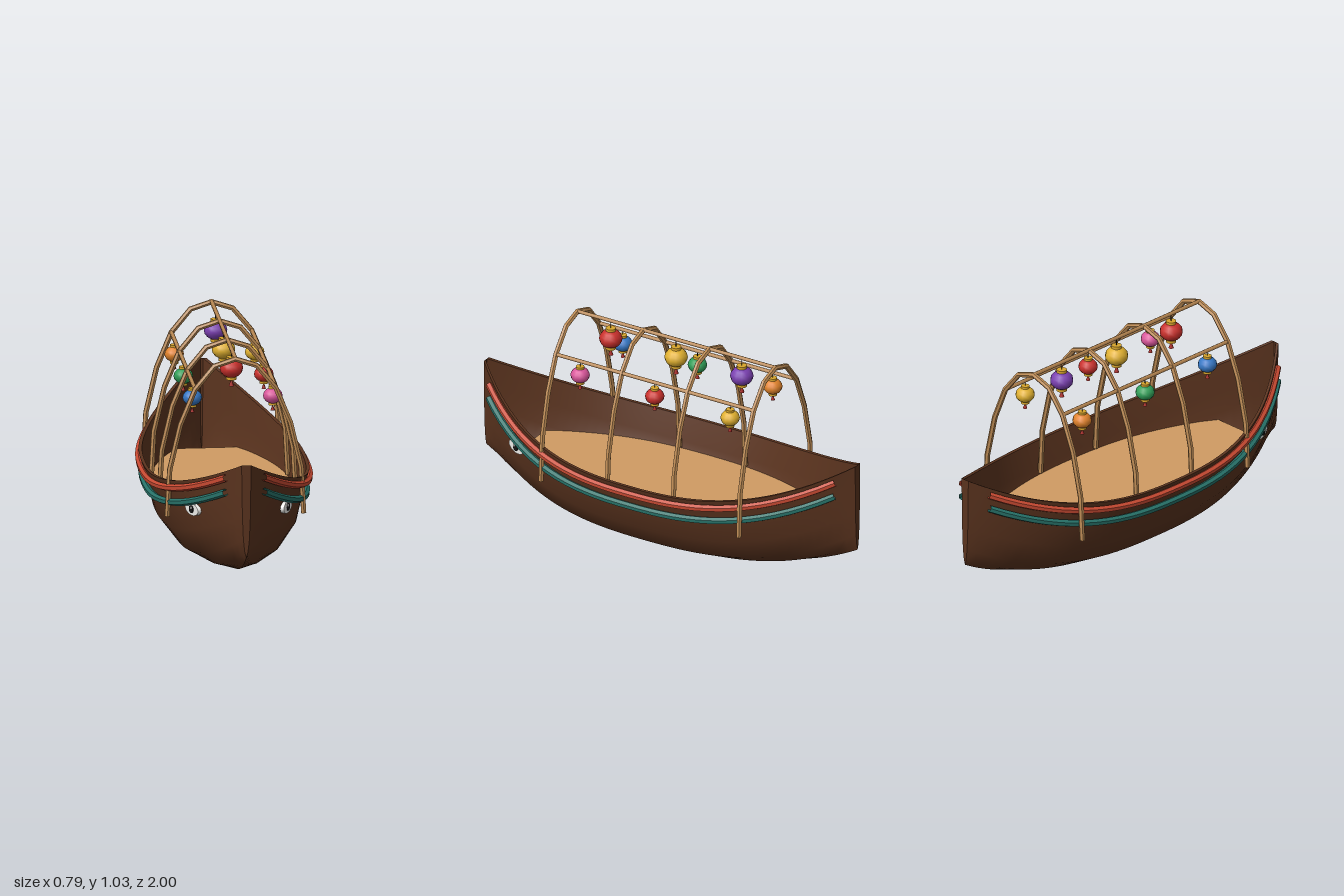
import * as THREE from 'three';
import { toCreasedNormals } from 'three/addons/utils/BufferGeometryUtils.js';

const mat = (color, side = THREE.FrontSide) => new THREE.MeshStandardMaterial({ color, side });
const hullMat = mat(0x5a331e, THREE.DoubleSide);
const bamboo = mat(0xbd8b54, THREE.DoubleSide);
const floorMat = mat(0xd09b63);
const gold = mat(0xd9a62c);
const tasselMat = mat(0xa82a26);
const white = mat(0xeeeeea);
const black = mat(0x151515);

// Hull rules: sheer line, keel line, half beam, and one shared half-section
const sheer = z => 0.415 + 0.22 * Math.abs(z) ** 2.7;
const keel = z => 0.2 * Math.abs(z) ** 2.9;
const beam = z => 0.022 + 0.358 * (1 - Math.abs(z) ** 2.4);
const SECTION = [[0, 0], [0.33, 0.06], [0.62, 0.19], [0.84, 0.45], [0.91, 0.72], [1, 1]];

function hullX(y, z) {
  const v = THREE.MathUtils.clamp((y - keel(z)) / (sheer(z) - keel(z)), 0, 1);
  const i = Math.max(1, SECTION.findIndex(p => p[1] >= v));
  const [a, b] = [SECTION[i - 1], SECTION[i]];
  return beam(z) * (a[0] + (b[0] - a[0]) * (v - a[1]) / (b[1] - a[1]));
}

function mesh(name, geometry, material, parent) {
  const m = new THREE.Mesh(geometry, material);
  m.name = name;
  parent.add(m);
  return m;
}

// Polyline tube whose rings sit exactly on the given points
class Polyline extends THREE.Curve {
  constructor(points) { super(); this.points = points; }
  getUtoTmapping(u) { return u; }
  getPoint(t, target = new THREE.Vector3()) {
    const n = this.points.length - 1;
    const i = Math.min(Math.floor(t * n), n - 1);
    return target.lerpVectors(this.points[i], this.points[i + 1], t * n - i);
  }
}
const tube = (points, r, sides) => toCreasedNormals(
  new THREE.TubeGeometry(new Polyline(points), points.length - 1, r, sides), 0.5);

// Open hull with thickness: outer skin, rim, inner skin, and flat stems
function hullGeometry() {
  const half = [...SECTION].reverse();
  const full = [...half, ...SECTION.slice(1).map(([u, v]) => [-u, v])];
  const n = full.length, steps = 48, pos = [], idx = [];
  for (let s = 0; s <= steps; s++) {
    const z = -1 + 2 * s / steps, w = beam(z), k = keel(z), t = sheer(z);
    const wi = Math.max(w - 0.016, 0.006), ki = k + 0.012;
    for (const [u, v] of full) pos.push(u * w, k + v * (t - k), z);
    for (const [u, v] of [...full].reverse()) pos.push(u * wi, ki + v * (t - ki), z);
  }
  const ring = 2 * n;
  for (let s = 0; s < steps; s++) {
    for (let j = 0; j < ring; j++) {
      const a = s * ring + j, b = s * ring + (j + 1) % ring;
      idx.push(a, b + ring, b, a, a + ring, b + ring);
    }
  }
  for (const end of [0, steps * ring]) {
    for (let j = 0; j < (n - 1) / 2; j++) {
      const a = end + j, b = a + 1, c = end + n - 2 - j, d = c + 1;
      if (end) idx.push(a, c, b, a, d, c);
      else idx.push(a, b, c, a, c, d);
    }
  }
  const g = new THREE.BufferGeometry();
  g.setAttribute('position', new THREE.Float32BufferAttribute(pos, 3));
  g.setIndex(idx);
  return toCreasedNormals(g, 0.7);
}

// Floor boards trimmed to the hull
function floorGeometry(y) {
  const right = [], left = [];
  for (let i = 0; i <= 24; i++) {
    const z = -0.77 + 1.54 * i / 24, x = hullX(y, z) - 0.013;
    right.push(new THREE.Vector2(x, -z));
    left.unshift(new THREE.Vector2(-x, -z));
  }
  const g = new THREE.ExtrudeGeometry(new THREE.Shape([...right, ...left]),
    { depth: 0.01, bevelEnabled: false });
  return g.rotateX(-Math.PI / 2).translate(0, y - 0.01, 0);
}

// Rubbing strake following the sheer at a given drop
function strakeGeometry(side, drop, out) {
  const pts = [];
  for (let i = 0; i <= 32; i++) {
    const z = -0.93 + 1.86 * i / 32, y = sheer(z) - drop;
    pts.push(new THREE.Vector3(side * (hullX(y, z) + out), y, z));
  }
  return tube(pts, 0.017, 6);
}

// Hanging lantern; origin at the centre of its body
function lantern(color, x, y, z, size, hangY) {
  const g = new THREE.Group();
  g.name = 'lantern';
  const body = mesh('lanternBody', new THREE.SphereGeometry(0.054, 12, 8), mat(color), g);
  body.scale.y = 0.83;
  for (const s of [1, -1]) {
    mesh('lanternCap', new THREE.CylinderGeometry(0.024, 0.024, 0.013, 12), gold, g)
      .position.y = s * 0.047;
  }
  mesh('tasselKnot', new THREE.CylinderGeometry(0.003, 0.003, 0.016, 6), gold, g).position.y = -0.059;
  mesh('tassel', new THREE.CylinderGeometry(0.004, 0.012, 0.024, 8), tasselMat, g).position.y = -0.073;
  const len = (hangY - y) / size - 0.046;
  mesh('lanternCord', new THREE.CylinderGeometry(0.002, 0.002, len, 5), black, g)
    .position.y = 0.046 + len / 2;
  g.position.set(x, y, z);
  g.scale.setScalar(size);
  return g;
}

// Oval painted eye lying on the bow
function eye(side) {
  const g = new THREE.Group();
  g.name = 'bowEye';
  const disc = (name, r, depth, x, y, z, material, stretch = 1) => {
    const m = mesh(name, new THREE.CylinderGeometry(r, r, depth, 20).rotateX(Math.PI / 2), material, g);
    m.position.set(x, y, z);
    m.scale.x = stretch;
  };
  disc('eyeWhite', 0.029, 0.018, 0, 0, 0, white, 2);
  disc('pupil', 0.018, 0.006, 0, 0, 0.01, black);
  disc('eyeGlint', 0.006, 0.004, side * -0.006, 0.008, 0.013, white);
  g.position.set(side * (hullX(0.36, 0.7) + 0.009), 0.36, 0.7);
  g.rotation.y = side * 1.14;
  return g;
}

export function createModel() {
  const model = new THREE.Group();
  model.name = 'lanternBoat';

  mesh('hull', hullGeometry(), hullMat, model);
  mesh('floor', floorGeometry(0.27), floorMat, model);

  const red = mat(0xc94a32, THREE.DoubleSide), teal = mat(0x28736a, THREE.DoubleSide);
  for (const side of [1, -1]) {
    mesh('upperStrake', strakeGeometry(side, 0.035, 0.01), red, model);
    mesh('lowerStrake', strakeGeometry(side, 0.103, 0.016), teal, model);
    model.add(eye(side));
  }

  // Bamboo arches and the poles that join them
  const arch = [[0.314, 0.28], [0.302, 0.5], [0.253, 0.71], [0.185, 0.875], [0.097, 0.982]];
  const path = [...arch, [0, 1.014], ...[...arch].reverse().map(([x, y]) => [-x, y])];
  for (const z of [0.51, 0.155, -0.2, -0.555]) {
    mesh('arch', tube(path.map(([x, y]) => new THREE.Vector3(x, y, z)), 0.013, 6), bamboo, model);
  }
  for (const [x, y] of [[0, 1.016], [0.185, 0.875], [-0.185, 0.875]]) {
    const pole = new THREE.CylinderGeometry(0.01, 0.01, 1.075, 6).rotateX(Math.PI / 2);
    mesh('pole', pole, bamboo, model).position.set(x, y, -0.0225);
  }

  // Lanterns: large under the ridge, small under the side poles
  const R = 0xc92f2b, Y = 0xe0b02f, P = 0x7a3fb0, K = 0xd8559a, B = 0x3577c4, G = 0x2f9e57, O = 0xe0822a;
  [[R, 0.33], [Y, -0.022], [P, -0.376]].forEach(([c, z]) =>
    model.add(lantern(c, 0, 0.926, z, 1, 1.015)));
  [[K, B, 0.38], [R, G, -0.022], [Y, O, -0.428]].forEach(([l, r, z]) => {
    model.add(lantern(l, 0.185, 0.805, z, 0.83, 0.875));
    model.add(lantern(r, -0.185, 0.805, z, 0.83, 0.875));
  });

  return model;
}
